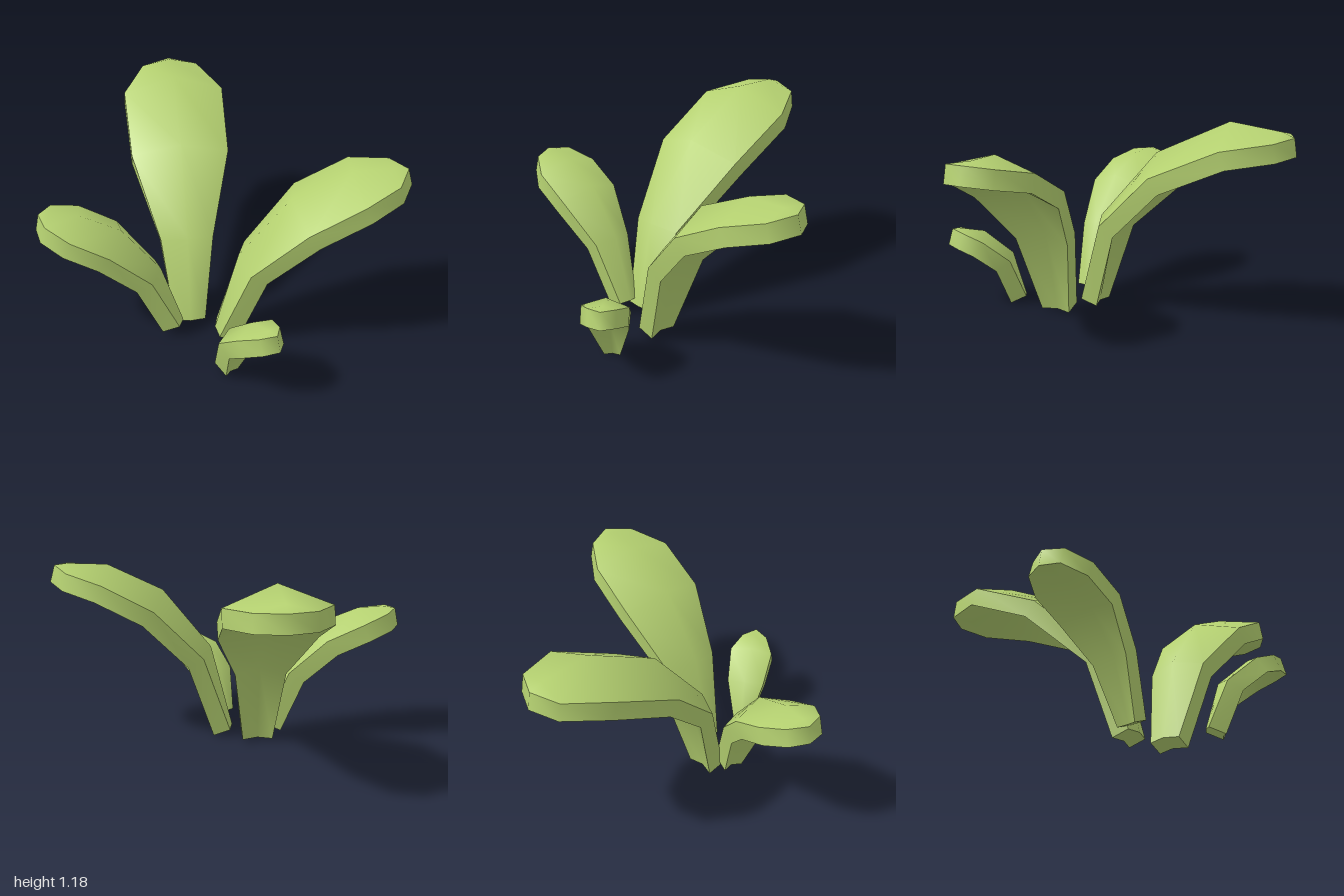
import * as THREE from 'three';
import { mergeGeometries, mergeVertices } from 'three/addons/utils/BufferGeometryUtils.js';

// Smooth sheet through rows of points; it faces (column direction) x (row direction)
function sheet(rows) {
  const cols = rows[0].length;
  const pts = rows.flat();
  const index = [];
  const tri = (a, b, c) => {
    const area = new THREE.Triangle(pts[a], pts[b], pts[c]).getArea();
    if (area > 1e-7) index.push(a, b, c);
  };
  for (let i = 0; i < rows.length - 1; i++) {
    for (let j = 0; j < cols - 1; j++) {
      const a = i * cols + j, c = a + cols;
      tri(a, a + 1, c);
      tri(a + 1, c + 1, c);
    }
  }
  const geo = new THREE.BufferGeometry().setFromPoints(pts);
  geo.setIndex(index);
  const merged = mergeVertices(geo);
  merged.computeVertexNormals();
  return merged.toNonIndexed();
}

// Thick arched leaf. Each station: [distance out, rim height, half width, ridge lift]
function leafGeometry(stations, thickness) {
  const top = [], under = [];
  stations.forEach(([u, h, w, lift], i) => {
    const p = stations[Math.max(i - 1, 0)];
    const n = stations[Math.min(i + 1, stations.length - 1)];
    const normal = new THREE.Vector3(p[1] - n[1], n[0] - p[0], 0).normalize();
    const row = [-1, 0, 1].map((s) =>
      new THREE.Vector3(u, h, s * w).addScaledVector(normal, s === 0 ? lift : 0));
    top.push(row);
    under.push(row.map((v) => v.clone().addScaledVector(normal, -thickness)));
  });

  // Rim runs out along one side, round the tip and back along the other
  const loop = (rows) => [
    ...rows.map((r) => r[0]),
    ...rows.slice(0, -1).reverse().map((r) => r[2]),
  ];
  const flip = (row) => [...row].reverse();
  return mergeGeometries([
    sheet(top),
    sheet(under.map(flip)),
    sheet([loop(top), loop(under)]),
    sheet([flip(top[0]), flip(under[0])]), // stalk end
  ]);
}

const leaves = [
  {
    name: 'leftLeaf', base: [-0.04, 0.33], dir: [0.964, 0.266], thickness: 0.105,
    stations: [
      [0, 0.04, 0.09, 0.02], [0.16, 0.52, 0.17, 0.06], [0.448, 0.84, 0.265, 0.09],
      [0.742, 1.0, 0.26, 0.075], [0.945, 1.05, 0.15, 0.03], [1.02, 1.07, 0, 0],
    ],
  },
  {
    name: 'backLeaf', base: [-0.17, 0.21], dir: [0.24, -0.97], thickness: 0.105,
    stations: [
      [0, 0.04, 0.09, 0.02], [0.145, 0.52, 0.15, 0.06], [0.507, 0.87, 0.28, 0.11],
      [0.92, 1.06, 0.293, 0.12], [1.18, 1.1, 0.165, 0.04], [1.25, 1.11, 0, 0],
    ],
  },
  {
    name: 'rightLeaf', base: [-0.24, 0.235], dir: [-0.925, -0.38], thickness: 0.105,
    stations: [
      [0, 0.075, 0.06, 0.02], [0.145, 0.42, 0.115, 0.05], [0.365, 0.64, 0.185, 0.08],
      [0.576, 0.74, 0.185, 0.065], [0.717, 0.79, 0.112, 0.02], [0.77, 0.8, 0, 0],
    ],
  },
  {
    name: 'frontLeaf', base: [-0.125, 0.59], dir: [0.38, 0.925], thickness: 0.1,
    stations: [
      [0, 0.035, 0.045, 0.01], [0.1, 0.28, 0.112, 0.04], [0.26, 0.41, 0.13, 0.045],
      [0.367, 0.455, 0.076, 0.015], [0.424, 0.47, 0, 0],
    ],
  },
];

export function createModel() {
  const plant = new THREE.Group();
  plant.name = 'plant';
  const green = new THREE.MeshStandardMaterial({ color: 0xb4d070 });
  for (const { name, base, dir, thickness, stations } of leaves) {
    const leaf = new THREE.Mesh(leafGeometry(stations, thickness), green);
    leaf.name = name;
    leaf.position.set(base[0], 0, base[1]);
    leaf.rotation.y = Math.atan2(-dir[1], dir[0]);
    plant.add(leaf);
  }
  return plant;
}
